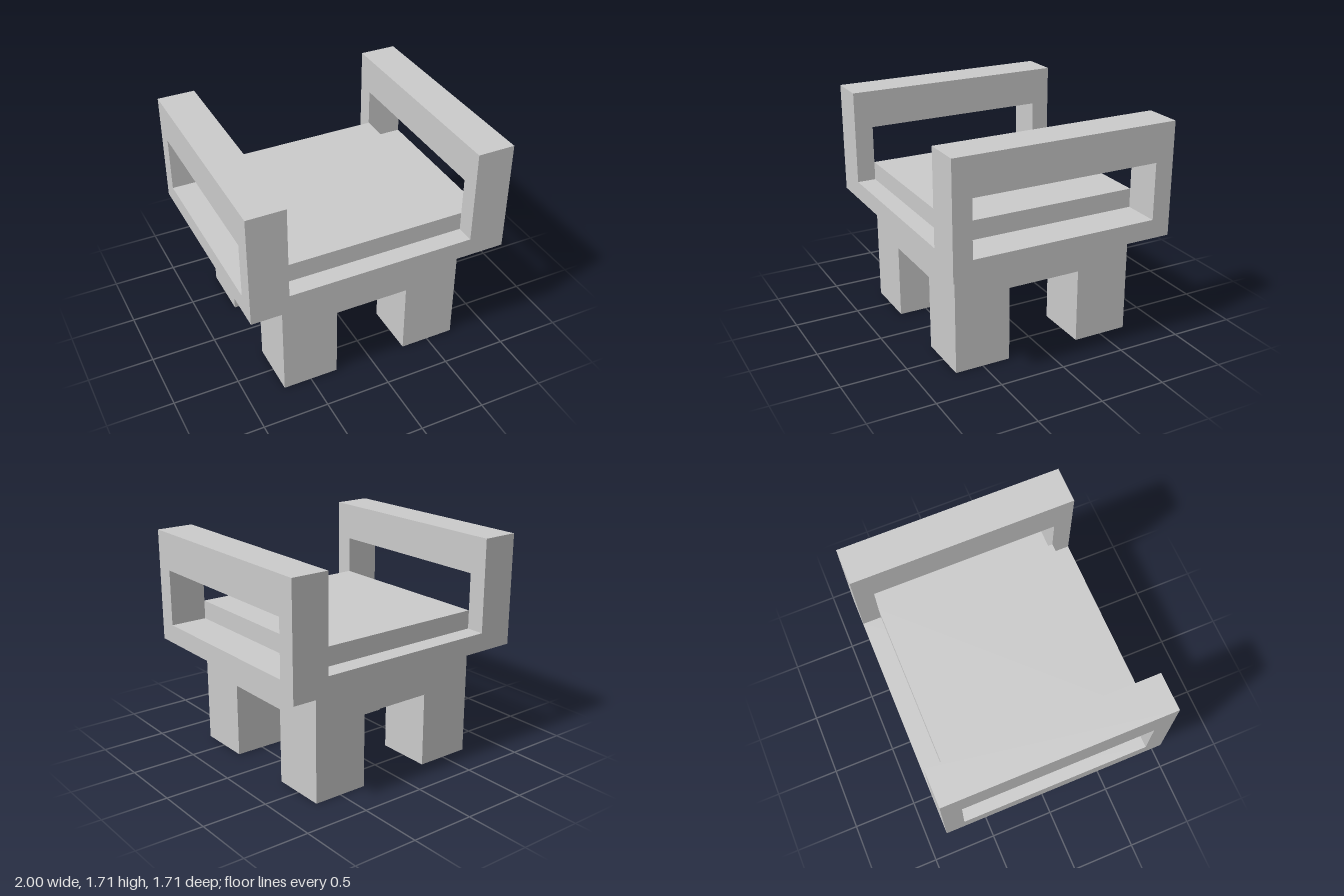
import * as THREE from 'three';

const U = 1 / 7; // the chair sits on a regular grid of this size

export function createModel() {
  const model = new THREE.Group();
  model.name = 'armchair';
  const material = new THREE.MeshStandardMaterial({ color: 0xcccccc, flatShading: true });

  const add = (name, geometry, x = 0, y = 0, z = 0) => {
    const mesh = new THREE.Mesh(geometry, material);
    mesh.name = name;
    mesh.position.set(x * U, y * U, z * U);
    model.add(mesh);
    return mesh;
  };
  // Box given in grid units, standing on height y
  const box = (name, w, h, d, x, y, z) =>
    add(name, new THREE.BoxGeometry(w * U, h * U, d * U), x, y + h / 2, z);

  const rectangle = (path, x0, y0, x1, y1) => {
    path.moveTo(x0 * U, y0 * U);
    path.lineTo(x1 * U, y0 * U);
    path.lineTo(x1 * U, y1 * U);
    path.lineTo(x0 * U, y1 * U);
    path.closePath();
    return path;
  };

  // Four square legs under a solid base block
  for (const x of [-1, 1]) {
    for (const z of [-1, 1]) {
      const side = x > 0 ? 'Left' : 'Right';
      box((z > 0 ? 'front' : 'back') + side + 'Leg', 3, 4, 3, x * 3.5, 0, z * 3.5);
    }
  }
  box('base', 10, 2, 10, 0, 4, 0);

  // Seat deck between the arms, with the cushion on top
  box('seatDeck', 10, 1, 12, 0, 6, 0);
  box('cushion', 10, 1, 10, 0, 7, 0);

  // Arm frames with a long window, extruded across x
  const profile = rectangle(new THREE.Shape(), -6, 6, 6, 12);
  profile.holes.push(rectangle(new THREE.Path(), -5, 7, 5, 10));
  const armGeometry = new THREE.ExtrudeGeometry(profile, { depth: 2 * U, bevelEnabled: false });
  armGeometry.rotateY(Math.PI / 2);
  add('leftArm', armGeometry, 5);
  add('rightArm', armGeometry, -7);

  return model;
}
